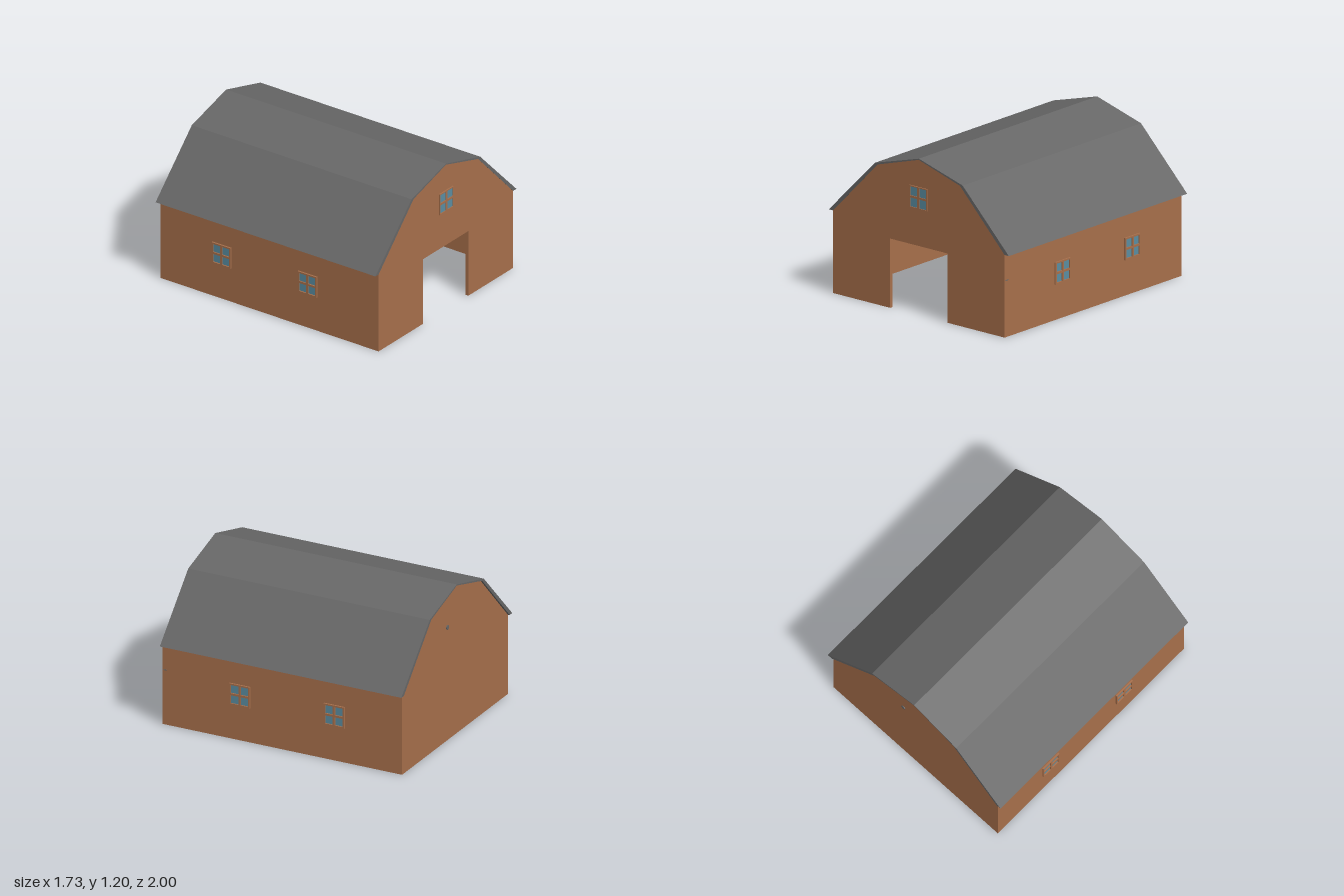
import * as THREE from 'three';

const brown = new THREE.MeshStandardMaterial({ color: 0xa76f4b });
brown.name = 'barn wood';
const grey = new THREE.MeshStandardMaterial({ color: 0x676767 });
grey.name = 'roof grey';
const blue = new THREE.MeshStandardMaterial({ color: 0x5a8da1 });
blue.name = 'window glass';

const WALL = 0.025;           // wall thickness
const FRONT = 0.99, BACK = -0.985, SIDE = 0.826;

// half profiles from the right-hand eave to the ridge
const roofOuter = [[0.867, 0.632], [0.422, 1.08], [0, 1.198]];
const wallOuter = [[SIDE, 0], [SIDE, 0.632], [0.397, 1.072], [0, 1.189]];
const wallInner = [[SIDE - WALL, 0], [SIDE - WALL, 0.622], [0.387, 1.046], [0, 1.162]];

// mirrors a half profile into a full arch, right to left
const arch = half => [...half, ...half.slice(0, -1).reverse().map(([x, y]) => [-x, y])];
const toShape = pts => new THREE.Shape(pts.map(([x, y]) => new THREE.Vector2(x, y)));

function slab(name, shape, z0, z1, material) {
  const geometry = new THREE.ExtrudeGeometry(shape, { depth: z1 - z0, bevelEnabled: false });
  geometry.translate(0, 0, z0);
  const mesh = new THREE.Mesh(geometry, material);
  mesh.name = name;
  return mesh;
}

function box(name, w, h, d, x, y, z, material) {
  const mesh = new THREE.Mesh(new THREE.BoxGeometry(w, h, d), material);
  mesh.name = name;
  mesh.position.set(x, y, z);
  return mesh;
}

// four-pane window facing +z; its origin lies on the outer wall surface
function createWindow(name, size, rim, bar, out) {
  const group = new THREE.Group();
  group.name = name;
  const h = size / 2;
  const pane = h - rim - bar / 2;
  const c = bar / 2 + pane / 2;
  const shape = toShape([[-h, -h], [h, -h], [h, h], [-h, h]]);
  for (const sx of [-1, 1]) for (const sy of [-1, 1]) {
    const x = sx * c, y = sy * c, p = pane / 2;
    shape.holes.push(new THREE.Path([[x - p, y - p], [x - p, y + p], [x + p, y + p], [x + p, y - p]]
      .map(([a, b]) => new THREE.Vector2(a, b))));
    // glass shows on both wall surfaces
    group.add(box('windowPane', pane, pane, WALL + 0.006, x, y, -WALL / 2, blue));
  }
  group.add(slab('windowFrame', shape, -WALL - 0.007, out, brown));
  return group;
}

export function createModel() {
  const barn = new THREE.Group();
  barn.name = 'barn';

  // side walls and ceiling in one hollow shell
  const shell = toShape([...arch(wallOuter), ...arch(wallInner).reverse()]);
  barn.add(slab('wallShell', shell, BACK + WALL, FRONT - WALL, brown));

  // gable ends, the front one with a doorway
  const door = [[-0.277, 0], [-0.277, 0.53], [0.277, 0.53], [0.277, 0]];
  barn.add(slab('frontWall', toShape([...arch(wallOuter), ...door]), FRONT - WALL, FRONT, brown));
  barn.add(slab('backWall', toShape(arch(wallOuter)), BACK, BACK + WALL, brown));

  // gambrel roof
  const roof = toShape([...arch(roofOuter), ...arch(wallOuter.slice(1)).reverse()]);
  barn.add(slab('roof', roof, -1, FRONT + 0.001, grey));

  // gable window
  const gable = createWindow('gableWindow', 0.17, 0.008, 0.016, 0.01);
  gable.position.set(0, 0.897, FRONT);
  barn.add(gable);

  // side windows
  for (const side of [-1, 1]) for (const z of [0.35, -0.428]) {
    const win = createWindow('sideWindow', 0.17, 0.012, 0.016, 0.013);
    win.position.set(side * SIDE, 0.358, z);
    win.rotation.y = side * Math.PI / 2;
    barn.add(win);
  }

  // small fittings on the back gable and the left wall
  const stud = new THREE.Mesh(new THREE.CylinderGeometry(0.018, 0.018, 0.008, 12), grey);
  stud.name = 'backStud';
  stud.rotation.x = Math.PI / 2;
  stud.position.set(0.12, 0.9, BACK - 0.002);
  barn.add(stud);
  barn.add(box('sidePin', 0.006, 0.006, 0.03, SIDE, 0.435, 0.967, grey));

  return barn;
}
